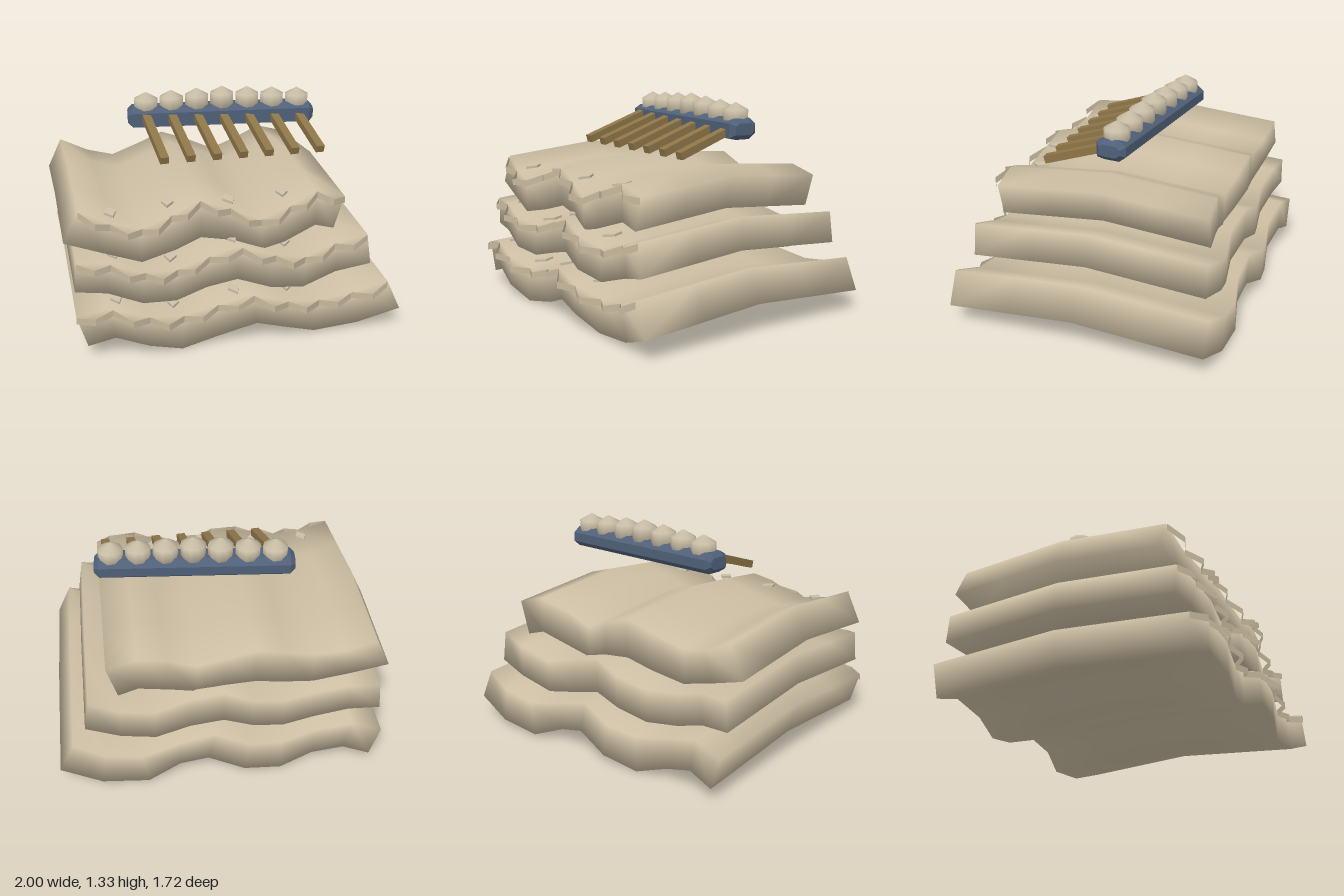
import * as THREE from 'three';

const material = (name, color, side = THREE.FrontSide) => {
  const m = new THREE.MeshStandardMaterial({ color, side });
  m.name = name;
  return m;
};

// Each layer: ridge-line points of the top, end-line points of the underside, half depth
const LAYERS = [
  { name: 'bottomLayer', half: 0.8,
    top: [[-.96, .33], [-.78, .38], [-.56, .32], [-.35, .28], [-.15, .31], [.06, .38], [.27, .32], [.5, .28], [.72, .31], [.91, .38]],
    base: [[-.9, .08], [-.74, .13], [-.55, .07], [-.35, .005], [-.12, .05], [.1, .13], [.27, .09], [.47, .015], [.75, .04], [1, .13]] },
  { name: 'middleLayer', half: 0.73,
    top: [[-.94, .635], [-.76, .63], [-.58, .57], [-.37, .55], [-.17, .6], [0, .66], [.2, .6], [.42, .55], [.62, .61], [.8, .66]],
    base: [[-.955, .4], [-.77, .385], [-.57, .315], [-.37, .295], [-.18, .345], [0, .39], [.2, .33], [.41, .295], [.62, .36], [.83, .41]] },
  { name: 'topLayer', half: 0.66,
    top: [[-.91, .925], [-.73, .845], [-.56, .81], [-.37, .87], [-.2, .93], [-.02, .87], [.15, .8], [.33, .87], [.5, .93], [.68, .88]],
    base: [[-1, .68], [-.78, .61], [-.56, .545], [-.35, .59], [-.2, .64], [0, .61], [.15, .55], [.3, .585], [.5, .655], [.62, .62]] },
];
const SAG = 0.057; // drop from the ridge to the front and back edges

// Sideways sway of the front and back edges
const sway = x => -0.03 - 0.03 * Math.cos((2 * Math.PI * (x + 0.17)) / 0.77);

// Height of the ridge line at x
function ridge(points, x) {
  let i = 1;
  while (i < points.length - 1 && points[i][0] < x) i++;
  const [a, b] = [points[i - 1], points[i]];
  return a[1] + ((b[1] - a[1]) * (x - a[0])) / (b[0] - a[0]);
}

// Closed smooth slab: a loop of points across the depth for every column along x
function slabGeometry({ top, base, half }) {
  const steps = [-1, -0.5, 0, 0.5, 1], n = steps.length, loop = 2 * n;
  const pos = [], index = [];
  top.forEach((t, c) => {
    const b = base[c], s = sway((t[0] + b[0]) / 2);
    for (const k of steps) pos.push(t[0], t[1] - SAG * Math.abs(k), k * half + s);
    for (const k of [...steps].reverse()) pos.push(b[0], b[1] + SAG * (1 - Math.abs(k)), k * half + s);
  });
  const quad = (a, b, c, d) => index.push(a, b, c, a, c, d);
  for (let c = 0; c < top.length - 1; c++) {
    for (let j = 0; j < loop; j++) {
      const k = (j + 1) % loop, p = c * loop, q = p + loop;
      quad(p + j, p + k, q + k, q + j);
    }
  }
  const last = (top.length - 1) * loop;
  for (let j = 0; j < n - 1; j++) {
    const k = loop - 1 - j;
    quad(j, k, k - 1, j + 1);
    quad(last + j, last + j + 1, last + k - 1, last + k);
  }
  const g = new THREE.BufferGeometry();
  g.setAttribute('position', new THREE.Float32BufferAttribute(pos, 3));
  g.setIndex(index);
  g.computeVertexNormals();
  return g;
}

// Zigzag ribbon standing along the front edge
function fringeGeometry({ top, half }) {
  const pos = [], index = [], count = 19;
  const x0 = top[0][0], x1 = top[top.length - 1][0];
  for (let i = 0; i < count; i++) {
    const x = x0 + ((x1 - x0) * i) / (count - 1);
    const y = ridge(top, x) - SAG - (i % 2 ? 0.015 : 0);
    const z = half + sway(x) + (i % 2 ? 0.065 : 0.005);
    pos.push(x, y, z, x, y - 0.04, z);
    if (i) {
      const a = 2 * i - 2;
      index.push(a, a + 1, a + 3, a, a + 3, a + 2);
    }
  }
  const g = new THREE.BufferGeometry();
  g.setAttribute('position', new THREE.Float32BufferAttribute(pos, 3));
  g.setIndex(index);
  const flat = g.toNonIndexed();
  flat.computeVertexNormals();
  return flat;
}

export function createModel() {
  const model = new THREE.Group();
  model.name = 'layeredSheetsWithRake';
  const cloth = material('sand', 0xcbbda2);
  const clothEdge = material('sandEdge', 0xc6b89d, THREE.DoubleSide);
  const blue = material('slateBlue', 0x4f6078);
  const wood = material('wood', 0x8e7548);
  const pale = material('paleSand', 0xccc0a8);
  const add = (parent, name, geometry, mat) => {
    const mesh = new THREE.Mesh(geometry, mat);
    mesh.name = name;
    parent.add(mesh);
    return mesh;
  };

  // Wavy layers with fringe and loose flakes
  for (const layer of LAYERS) {
    const group = new THREE.Group();
    group.name = layer.name;
    model.add(group);
    add(group, 'slab', slabGeometry(layer), cloth);
    add(group, 'fringe', fringeGeometry(layer), clothEdge);
    [[-.72, -.14], [-.38, -.16], [-.02, -.13], [.32, -.17]].forEach(([x, dz], i) => {
      const z = layer.half + dz;
      const flake = add(group, 'flake', new THREE.CylinderGeometry(1, 1, 0.015, 4).toNonIndexed(), pale);
      flake.geometry.scale(0.036, 1, 0.062);
      flake.geometry.computeVertexNormals();
      flake.position.set(x, ridge(layer.top, x) - SAG * (z / layer.half) + 0.015, z);
      flake.rotation.set(0.08, i % 2 ? -0.2 : 0.2, 0);
    });
  }

  // Chamfered bar, turned slightly about the vertical
  const barZ = x => -0.185 + 0.094 * (x - 0.1);
  const profile = new THREE.Shape();
  [[-.065, -.03], [-.04, -.035], [.04, -.035], [.065, -.015], [.065, .015], [.04, .035], [-.04, .035], [-.065, .02]]
    .forEach(([x, y], i) => (i ? profile.lineTo(x, y) : profile.moveTo(x, y)));
  const barGeometry = new THREE.ExtrudeGeometry(profile, {
    depth: 1.14, bevelEnabled: true, bevelSegments: 1, bevelSize: 0.028, bevelThickness: 0.03 });
  barGeometry.translate(0, 0, -0.57);
  barGeometry.rotateY(Math.PI / 2);
  const bar = add(model, 'bar', barGeometry, blue);
  bar.position.set(0.1, 1.152, -0.185);
  bar.rotation.y = -0.094;

  // Beads along the bar and a slanted tine below each
  for (let i = 0; i < 7; i++) {
    const x = -0.38 + 0.163 * i;
    const bead = add(model, 'bead', new THREE.SphereGeometry(0.088, 10, 3), pale);
    bead.position.set(x, 1.242 - 0.008 * Math.abs(i - 3), barZ(x));

    const tip = new THREE.Vector3(x + 0.025, 1.022, 0.3);
    const rootZ = barZ(x) + 0.06;
    const root = new THREE.Vector3(tip.x - 0.08 * (0.3 - rootZ), 1.022 + 0.31 * (0.3 - rootZ), rootZ);
    const tine = add(model, 'tine', new THREE.BoxGeometry(0.052, 0.046, root.distanceTo(tip)), wood);
    tine.position.copy(root).lerp(tip, 0.5);
    tine.lookAt(tip);
  }
  return model;
}
